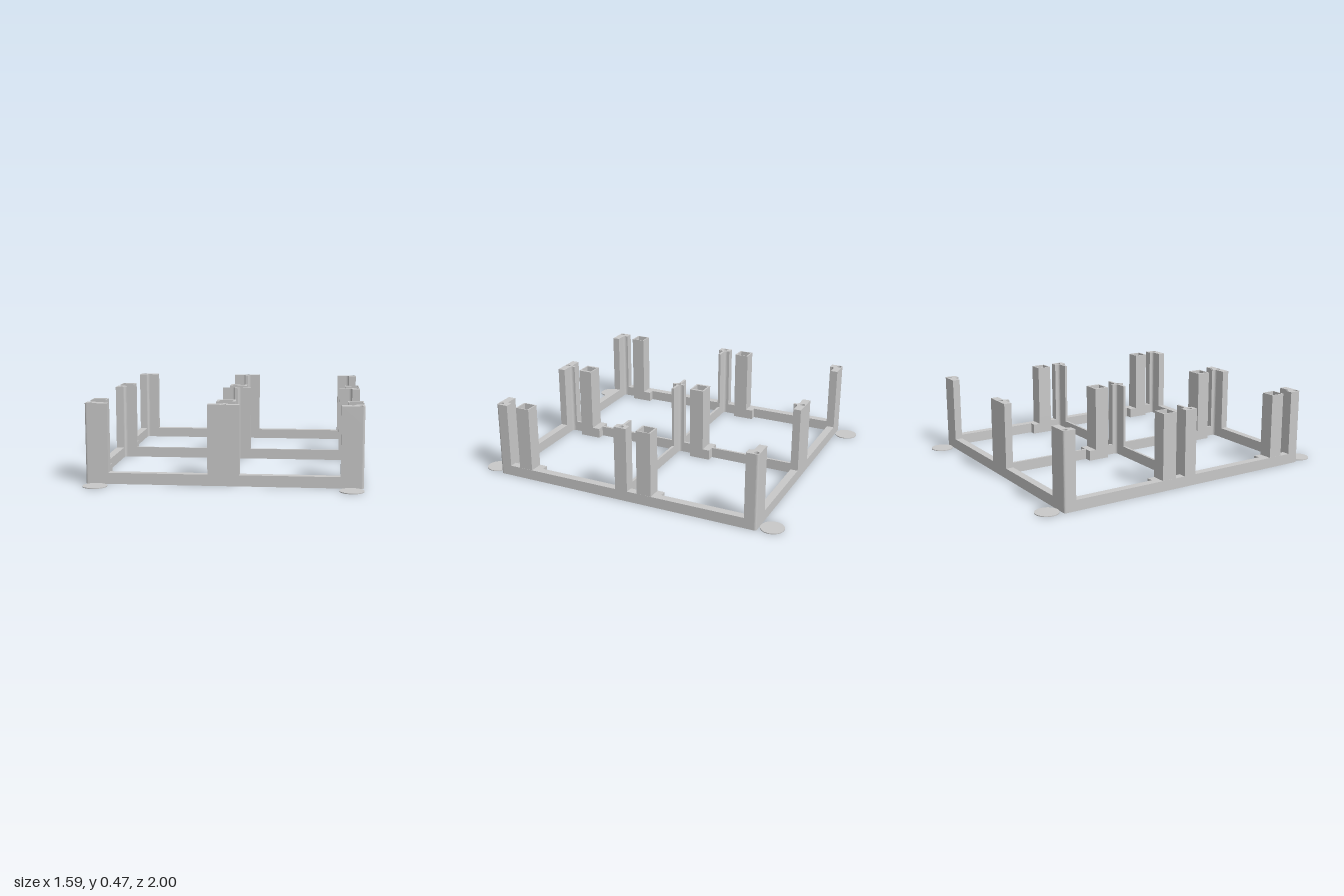
import * as THREE from 'three';

const X = 0.796, Z = 0.858;          // outer half sizes of the frame
const WX = 0.747, WZ = 0.811;        // inner edges of the outer rails
const T = 0.008;                     // half thickness of the cross rails
const RAIL = 0.065, TOP = 0.468;     // rail and post heights
const SOCKETS = [                    // z ranges: foot start, tower start, end
  { foot: 0.578, z0: 0.628, z1: 0.717 },
  { foot: -0.243, z0: -0.197, z1: -0.105 },
];

// Closed path through [x, z, radius] points; the radius rounds that corner
function outline(path, pts) {
  const toward = (p, q, r) => {
    const d = Math.hypot(q[0] - p[0], q[1] - p[1]);
    return [p[0] + (q[0] - p[0]) * r / d, -(p[1] + (q[1] - p[1]) * r / d)];
  };
  pts.forEach((p, k) => {
    const r = p[2] || 0;
    const a = toward(p, pts[(k + pts.length - 1) % pts.length], r);
    if (k === 0) path.moveTo(...a); else path.lineTo(...a);
    if (r) path.quadraticCurveTo(p[0], -p[1], ...toward(p, pts[(k + 1) % pts.length], r));
  });
  path.closePath();
  return path;
}

// Counter-clockwise seen from above, so that holes are turned inward
const rect = (x0, x1, z0, z1, r = 0) => [[x0, z0, r], [x0, z1, r], [x1, z1, r], [x1, z0, r]];
const circle = (x, z, r) => new THREE.Path().absarc(x, -z, r, 0, Math.PI * 2, true);

// Plan shape raised from y0 to y1
function raise(shape, y0, y1) {
  const g = new THREE.ExtrudeGeometry(shape, { depth: y1 - y0, bevelEnabled: false, curveSegments: 10 });
  return g.rotateX(-Math.PI / 2).translate(0, y0, 0);
}

// Plan of the post at grid node (i, j): the rails' outline cut to a short length
function postPlan(i, j) {
  const far = (n, s, mid, out, inn) => (n === 0 ? s * mid : n * (s === n ? out : inn));
  const pts = [];
  [[1, 1], [1, -1], [-1, -1], [-1, 1]].forEach(([sx, sz]) => {
    const fx = far(i, sx, 0.091, X, 0.665), fz = far(j, sz, 0.04, Z, 0.783);
    if (i * sx <= 0 && j * sz <= 0) {
      const wx = i === 0 ? sx * T : i * WX, wz = j === 0 ? sz * T : j * WZ;
      const notch = [[wx, fz], [wx, wz, 0.02], [fx, wz]];
      pts.push(...(sx * sz > 0 ? notch : notch.reverse()));
    } else {
      pts.push([fx, fz, sx === i && sz === j ? 0.015 : 0]);
    }
  });
  return outline(new THREE.Shape(), pts);
}

export function createModel() {
  const group = new THREE.Group();
  const grey = new THREE.MeshStandardMaterial({ color: 0xc8c8c8 });
  grey.name = 'grey plastic';
  const add = (name, geometry) => {
    const mesh = new THREE.Mesh(geometry, grey);
    mesh.name = name;
    group.add(mesh);
    return mesh;
  };

  // Base frame with four windows, socket feet and drain holes
  const base = outline(new THREE.Shape(), rect(-X, X, -Z, Z, 0.015));
  for (const s of SOCKETS) {
    const near = s.foot > 0 ? T : -WZ, end = s.foot > 0 ? WZ : -T;
    for (const sx of [1, -1]) {
      const pts = [
        [T, near, 0.02], [T, s.foot], [0.055, s.foot], [0.055, s.z1], [T, s.z1], [T, end, 0.02],
        [WX, end, 0.02], [WX, s.z1], [0.705, s.z1], [0.705, s.foot], [WX, s.foot], [WX, near, 0.02],
      ].map(([x, z, r]) => [x * sx, z, r]);
      base.holes.push(outline(new THREE.Path(), pts));
    }
    for (const x of [-0.75, 0, 0.75]) base.holes.push(circle(x, (s.z0 + s.z1) / 2, 0.015));
  }
  add('baseFrame', raise(base, 0, RAIL));

  // Posts at the nine rail crossings, each with a pin hole in its top
  for (const i of [-1, 0, 1]) {
    for (const j of [-1, 0, 1]) {
      add('post', raise(postPlan(i, j), RAIL, TOP - 0.1));
      const drilled = postPlan(i, j);
      drilled.holes.push(circle(i * 0.774, j * 0.838, 0.015));
      add('postTop', raise(drilled, TOP - 0.1, TOP));
    }
  }

  // Hollow square socket towers, narrower inside at the foot
  for (const s of SOCKETS) {
    const zc = (s.z0 + s.z1) / 2;
    for (const x of [-0.75, 0, 0.75]) {
      const half = x === 0 ? 0.055 : 0.045;
      const tower = (hx, hz) => {
        const shape = outline(new THREE.Shape(), rect(x - half, x + half, s.z0, s.z1));
        shape.holes.push(outline(new THREE.Path(), rect(x - hx, x + hx, zc - hz, zc + hz)));
        return shape;
      };
      add('socketFoot', raise(tower(0.026, 0.026), RAIL, RAIL + 0.05));
      add('socketTower', raise(tower(0.039, 0.036), RAIL + 0.05, TOP));
    }
  }

  // Thin round pads beside the corners
  for (const sx of [-1, 1]) {
    for (const sz of [-1, 1]) {
      const pad = add('cornerPad', new THREE.CylinderGeometry(0.07, 0.07, 0.005, 40));
      pad.position.set(sx * 0.727, 0.0025, sz * 0.93);
    }
  }
  return group;
}
